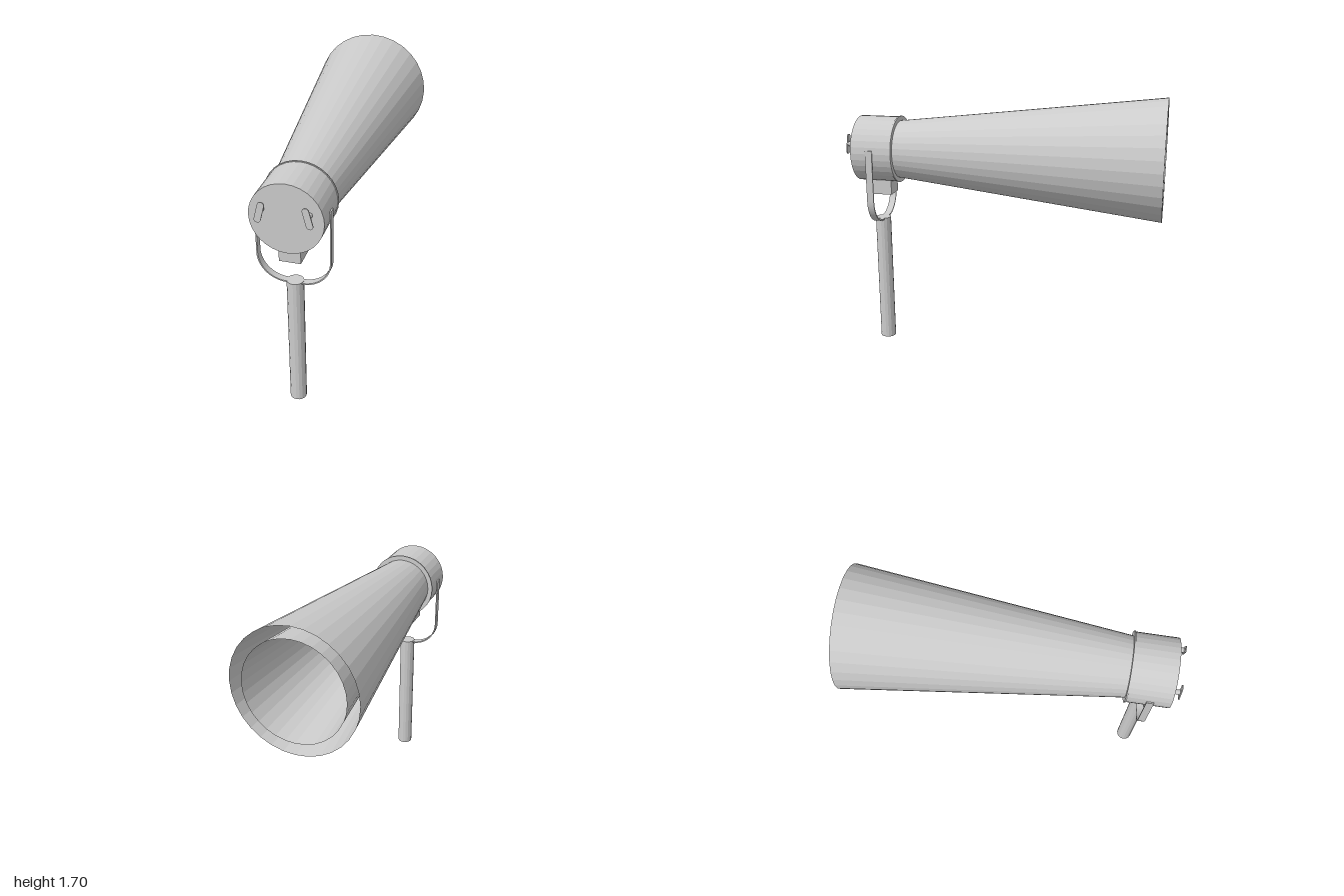
import * as THREE from 'three';

const AXIS_Y = 1.323, YOKE_Z = 0.832;

export function createModel() {
  const model = new THREE.Group();
  const solid = new THREE.MeshStandardMaterial({ color: 0xcccccc, flatShading: true });
  const shell = new THREE.MeshStandardMaterial({ color: 0xcccccc, flatShading: true, side: THREE.DoubleSide });

  const add = (name, geometry, x, y, z, material = solid, parent = model) => {
    const mesh = new THREE.Mesh(geometry, material);
    mesh.name = name;
    mesh.position.set(x, y, z);
    parent.add(mesh);
    return mesh;
  };
  // Round part along z, from the front (z0) to the back (z1)
  const tube = (name, r0, r1, z0, z1, open = false, sides = 32) =>
    add(name, new THREE.CylinderGeometry(r0, r1, z0 - z1, sides, 1, open).rotateX(Math.PI / 2),
      0, AXIS_Y, (z0 + z1) / 2, open ? shell : solid);

  // Lamp housing, rear flange and the two nested cones, open at the far end
  tube('housing', 0.21, 0.21, 0.955, 0.695);
  tube('housingFlange', 0.215, 0.215, 0.697, 0.688);
  tube('outerCone', 0.185, 0.38, 0.69, -1, true);
  tube('innerCone', 0.148, 0.307, 0.69, -1, true);

  // Box under the housing
  add('lowerBox', new THREE.BoxGeometry(0.126, 0.11, 0.17), 0, 1.083, 0.83);

  // U-shaped yoke cut from a thin strap
  const strap = new THREE.Shape();
  const w = 0.217, t = 0.008, r = 0.17, top = 1.345, bend = 1.018, cx = w - r;
  strap.moveTo(-w, top);
  strap.lineTo(-w, bend);
  strap.absarc(-cx, bend, r, Math.PI, Math.PI * 1.5, false);
  strap.absarc(cx, bend, r, Math.PI * 1.5, Math.PI * 2, false);
  strap.lineTo(w, top);
  strap.lineTo(w - t, top);
  strap.lineTo(w - t, bend);
  strap.absarc(cx, bend, r - t, 0, -Math.PI / 2, true);
  strap.absarc(-cx, bend, r - t, -Math.PI / 2, -Math.PI, true);
  strap.lineTo(-w + t, top);
  add('yoke', new THREE.ExtrudeGeometry(strap, { depth: 0.044, bevelEnabled: false, curveSegments: 10 }),
    0, 0, YOKE_Z - 0.022);

  // Post
  add('post', new THREE.CylinderGeometry(0.05, 0.05, 0.858, 16), 0, 0.429, YOKE_Z);

  // Tilted handles, each a rounded plate on a short stem
  const plate = new THREE.Shape();
  plate.absarc(0, 0.044, 0.019, 0, Math.PI, false);
  plate.absarc(0, -0.044, 0.019, Math.PI, Math.PI * 2, false);
  const plateGeometry = new THREE.ExtrudeGeometry(plate, { depth: 0.007, bevelEnabled: false, curveSegments: 8 });
  for (const side of [-1, 1]) {
    const handle = new THREE.Group();
    handle.name = side > 0 ? 'leftHandle' : 'rightHandle';
    handle.position.set(side * 0.132, 1.37, 0);
    handle.rotation.z = side * 0.25;
    add('handlePlate', plateGeometry, 0, 0, 0.993, solid, handle);
    add('handleStem', new THREE.CylinderGeometry(0.015, 0.015, 0.045, 12).rotateX(Math.PI / 2),
      0, 0, 0.972, solid, handle);
    model.add(handle);
  }
  return model;
}
